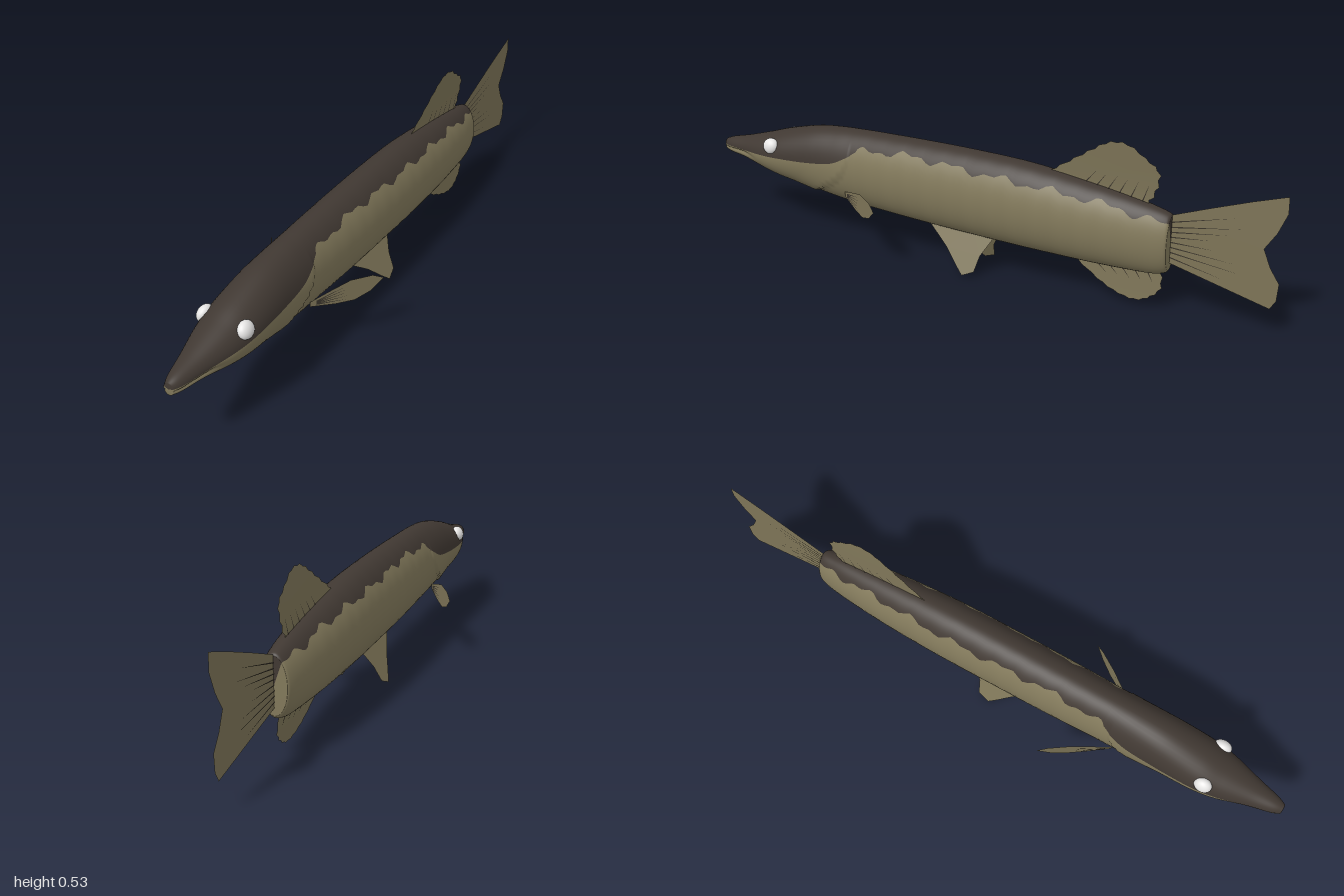
import * as THREE from 'three';
import { mergeGeometries } from 'three/addons/utils/BufferGeometryUtils.js';

const mat = (name, color, side = THREE.FrontSide) => {
  const m = new THREE.MeshStandardMaterial({ color, side });
  m.name = name;
  return m;
};

// Body sections from snout to tail root: z, top, bottom, half width, lower edge of the dark back
const SECTIONS = [
  [1.0, 0.277, 0.237, 0.016, 0.262], [0.97, 0.288, 0.230, 0.029, 0.262], [0.9, 0.305, 0.222, 0.047, 0.265],
  [0.8, 0.335, 0.199, 0.075, 0.272], [0.72, 0.361, 0.182, 0.086, 0.277], [0.6, 0.390, 0.165, 0.087, 0.284],
  [0.5, 0.401, 0.150, 0.085, 0.298], [0.44, 0.404, 0.144, 0.084, 0.325], [0.38, 0.406, 0.139, 0.084, 0.357],
  [0.2, 0.409, 0.130, 0.088, 0.371], [0, 0.409, 0.124, 0.089, 0.364], [-0.2, 0.402, 0.120, 0.088, 0.356],
  [-0.4, 0.379, 0.119, 0.079, 0.344], [-0.55, 0.355, 0.122, 0.065, 0.325], [-0.62, 0.340, 0.126, 0.055, 0.313],
  [-0.655, 0.330, 0.136, 0.047, 0.302], [-0.665, 0.322, 0.146, 0.041, 0.296],
];

function bodyGeometry() {
  const curve = (a, b) => new THREE.CatmullRomCurve3(
    SECTIONS.map(s => new THREE.Vector3(s[0], s[a], s[b])), false, 'catmullrom');
  const heights = curve(1, 2), widths = curve(3, 4);
  const R = 170, nBelly = 16, nBack = 20, N = nBelly * 2 + nBack;
  const pos = [], belly = [], back = [];
  for (let i = -1; i <= R + 1; i++) {
    const t = THREE.MathUtils.clamp(i / R, 0, 1);
    const h = heights.getPoint(t), w = widths.getPoint(t), z = h.x;
    const yc = (h.y + h.z) / 2, ry = (h.y - h.z) / 2;
    const closed = i < 0 || i > R ? 0 : 1;
    // ragged border between back and flank
    const rag = z < 0.4 ? 0.008 * Math.sin(z * 37) + 0.006 * Math.sin(z * 83 + 1) : 0;
    const edge = Math.asin(THREE.MathUtils.clamp((w.z + rag - yc) / ry, -0.9, 0.95));
    for (let j = 0; j < N; j++) {
      let a;
      if (j < nBelly) a = THREE.MathUtils.lerp(-Math.PI / 2, edge, j / nBelly);
      else if (j < nBelly + nBack) a = THREE.MathUtils.lerp(edge, Math.PI - edge, (j - nBelly) / nBack);
      else a = THREE.MathUtils.lerp(Math.PI - edge, Math.PI * 1.5, (j - nBelly - nBack) / nBelly);
      const s = Math.sin(a), c = Math.cos(a), y = yc + s * ry;
      // mouth groove
      const mouth = THREE.MathUtils.smoothstep(z, 0.82, 0.92);
      let k = 1 - 0.22 * mouth * Math.exp(-(((Math.asin(s) + 0.25) / 0.13) ** 2));
      // gill cover, flaring towards its curved rear edge
      const drop = THREE.MathUtils.clamp((0.33 - y) / 0.16, 0, 1);
      const d = z - (0.43 + 0.17 * drop * drop);
      if (d > 0 && s < 0.75) k += 0.06 * Math.max(0, 1 - d / 0.13) * (1 - Math.max(0, s) / 0.75);
      pos.push(c * w.y * k * closed, yc + s * ry * k * closed, z);
    }
  }
  for (let i = 0; i < R + 2; i++) for (let j = 0; j < N; j++) {
    const a = i * N + j, b = i * N + (j + 1) % N;
    (j >= nBelly && j < nBelly + nBack ? back : belly).push(a, a + N, b, b, a + N, b + N);
  }
  const g = new THREE.BufferGeometry();
  g.setAttribute('position', new THREE.Float32BufferAttribute(pos, 3));
  g.setIndex([...belly, ...back]);
  g.addGroup(0, belly.length, 0);
  g.addGroup(belly.length, back.length, 1);
  g.computeVertexNormals();
  return g;
}

// Moves a flat shape (u, v) into place by a rule
function place(shape, rule, offset = 0) {
  const g = new THREE.ShapeGeometry(shape), p = g.attributes.position;
  for (let i = 0; i < p.count; i++) {
    const [x, y, z] = rule(p.getX(i), p.getY(i));
    p.setXYZ(i, x + offset, y, z);
  }
  g.computeVertexNormals();
  return g;
}

export function createModel() {
  const root = new THREE.Group();
  const olive = mat('olive flank', 0x82795b);
  const dark = mat('dark back', 0x403832);
  const finOlive = mat('olive fin', 0x7d7457, THREE.DoubleSide);
  const rayDark = mat('dark fin ray', 0x3a342b, THREE.DoubleSide);
  const white = mat('eye white', 0xe6e5e4);

  const add = (name, geometry, material, parent = root) => {
    const m = new THREE.Mesh(geometry, material);
    m.name = name;
    parent.add(m);
    return m;
  };

  // A membrane with a toothed outer edge and fine dark rays from [u0, v0, u1, v1]
  function fin(name, outline, teeth, rule, rays = []) {
    const group = new THREE.Group();
    group.name = name;
    let pts = outline.map(p => new THREE.Vector2(...p));
    if (teeth) {
      const mid = pts.reduce((s, p) => s.add(p), new THREE.Vector2()).divideScalar(pts.length);
      pts = new THREE.SplineCurve(pts).getPoints(teeth * 2);
      pts.forEach((p, i) => { if (i % 2) p.lerp(mid, 0.06); });
    }
    add(name + 'Membrane', place(new THREE.Shape(pts), rule), finOlive, group);
    const strips = [];
    for (const [u0, v0, u1, v1] of rays) {
      const a = new THREE.Vector2(u0, v0), b = new THREE.Vector2(u1, v1);
      const n = new THREE.Vector2(v0 - v1, u1 - u0).setLength(0.0022);
      const sliver = new THREE.Shape([a.clone().add(n), a.clone().sub(n), b]);
      for (const side of [-1, 1]) strips.push(place(sliver, rule, side * 0.0015));
    }
    if (strips.length) add(name + 'Rays', mergeGeometries(strips), rayDark, group);
    root.add(group);
  }
  const fan = (n, f) => Array.from({ length: n }, (_, i) => f(i / (n - 1)));

  add('body', bodyGeometry(), [olive, dark]);

  // Fins on the midline, outlined as (z, y)
  fin('tailFin', [[-0.65, 0.32], [-0.78, 0.372], [-0.9, 0.418], [-0.998, 0.452], [-1, 0.4], [-0.975, 0.335],
    [-0.942, 0.28], [-0.965, 0.225], [-0.995, 0.18], [-0.992, 0.125], [-0.975, 0.095], [-0.65, 0.172]], 0,
  (z, y) => [(-0.66 - z) * 0.015, y, z],
  fan(8, t => [-0.655, 0.19 + 0.11 * t, -0.83 - 0.05 * Math.sin(t * 9), 0.155 + 0.2 * t]));
  fin('dorsalFin', [[-0.26, 0.39], [-0.33, 0.438], [-0.4, 0.487], [-0.46, 0.523], [-0.52, 0.525],
    [-0.58, 0.487], [-0.622, 0.45], [-0.615, 0.39], [-0.59, 0.34]], 13,
  (z, y) => [Math.max(0, y - 0.4) * 0.08, y, z],
  fan(6, t => [-0.38 - 0.19 * t, 0.37 - 0.02 * t, -0.42 - 0.17 * t, 0.42 - 0.01 * t]));
  fin('analFin', [[-0.34, 0.13], [-0.43, 0.07], [-0.5, 0.036], [-0.565, 0.024], [-0.615, 0.043],
    [-0.65, 0.085], [-0.64, 0.15]], 11,
  (z, y) => [Math.max(0, 0.12 - y) * 0.1, y, z],
  fan(5, t => [-0.43 + -0.17 * t, 0.125, -0.47 - 0.15 * t, 0.09]));

  for (const side of [1, -1]) {
    const label = side > 0 ? 'left' : 'right';
    // Belly fins splay outwards
    fin(label + 'PelvicFin', [[0.155, 0.135], [0.075, 0.075], [0.03, 0.03], [0, 0.003], [-0.04, 0.02],
      [-0.05, 0.07], [-0.085, 0.13], [0, 0.145]], 0,
    (z, y) => [side * (0.022 + (0.125 - y) * 0.49), y, z]);
    // Side fins sweep back; u runs from root to tip
    fin(label + 'PectoralFin', [[0, 0.186], [0.35, 0.17], [0.6, 0.165], [0.82, 0.182], [1, 0.218],
      [0.85, 0.238], [0.55, 0.242], [0.25, 0.222], [0, 0.203]], 0,
    (u, y) => [side * (0.072 + 0.133 * u), y, 0.45 - 0.2 * u],
    fan(5, t => [0.08, 0.19 + 0.011 * t, 0.5, 0.177 + 0.05 * t]));
    // Eyes
    const eye = add(label + 'Eye', new THREE.SphereGeometry(1, 24, 16), white);
    eye.scale.set(0.02, 0.027, 0.029);
    eye.position.set(side * 0.07, 0.312, 0.752);
    eye.rotation.z = side * 0.35;
  }
  return root;
}
